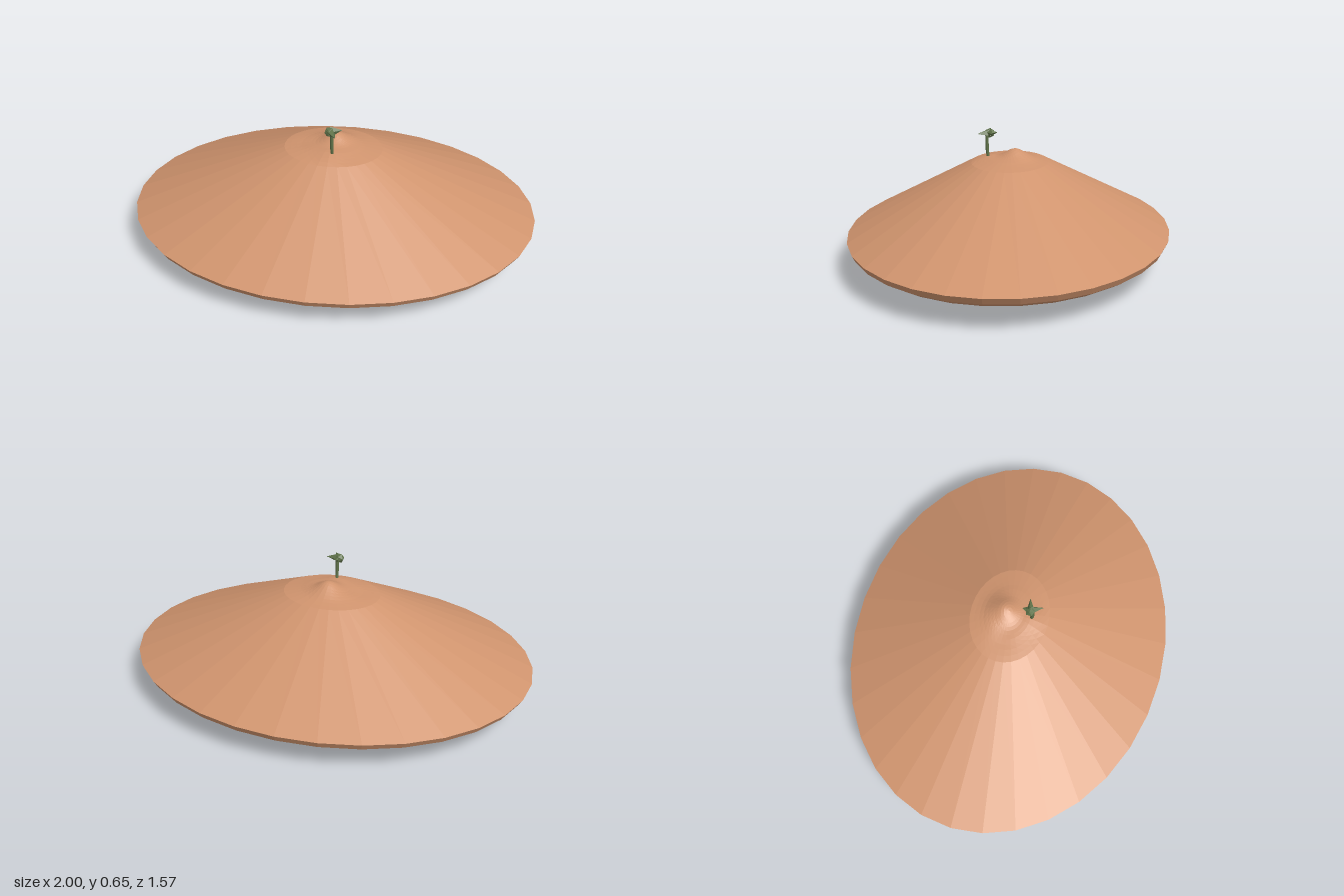
import * as THREE from 'three';

const DEPTH = 0.787; // z to x ratio of the oval mound
const RIM = 0.16;

function flat(geometry) {
  const g = geometry.index ? geometry.toNonIndexed() : geometry;
  g.computeVertexNormals();
  return g;
}

function addMesh(parent, name, geometry, material) {
  const mesh = new THREE.Mesh(geometry, material);
  mesh.name = name;
  parent.add(mesh);
  return mesh;
}

// soft round swelling centred on (cx, cz)
function swelling(x, z, cx, cz, radius) {
  return Math.exp(-((x - cx) ** 2 + (z - cz) ** 2) / (radius * radius));
}

// oval lathe with a rounded underside, straight slopes and an uneven summit
function moundGeometry() {
  const points = [];
  for (let i = 0; i <= 8; i++) {
    const a = (i / 8) * Math.PI / 2;
    points.push(new THREE.Vector2(Math.sin(a), RIM * (1 - Math.cos(a))));
  }
  points.push(new THREE.Vector2(0.24, 0.487));
  for (const r of [0.21, 0.18, 0.155, 0.13, 0.108, 0.088, 0.07, 0.052, 0.035, 0.018, 0]) {
    points.push(new THREE.Vector2(r, 0.487 + 0.022 * Math.min(1, (0.24 - r) / 0.12)));
  }
  const g = new THREE.LatheGeometry(points, 32);
  g.scale(1, 1, DEPTH);
  const p = g.attributes.position;
  for (let i = 0; i < p.count; i++) {
    const x = p.getX(i), z = p.getZ(i), y = p.getY(i);
    if (y < 0.488) continue;
    const lift = 0.045 * swelling(x, z, 0.01, -0.027, 0.065)
      + 0.009 * swelling(x, z, 0, 0.12, 0.06)
      - 0.006 * swelling(x, z, -0.13, 0, 0.06);
    p.setY(i, y + lift);
  }
  return flat(g);
}

// pointed four-sided leaf from a to b
function addLeaf(parent, name, a, b, width, material) {
  const length = a.distanceTo(b);
  const g = new THREE.ConeGeometry(width, length, 4);
  g.scale(1, 1, 0.75);
  const leaf = addMesh(parent, name, flat(g), material);
  leaf.position.copy(a).lerp(b, 0.5);
  leaf.quaternion.setFromUnitVectors(new THREE.Vector3(0, 1, 0), b.clone().sub(a).normalize());
}

export function createModel() {
  const clay = new THREE.MeshStandardMaterial({ color: 0xd0946e });
  clay.name = 'clay';
  const green = new THREE.MeshStandardMaterial({ color: 0x60734a });
  green.name = 'leaf green';

  const model = new THREE.Group();
  model.name = 'moundWithSprout';
  addMesh(model, 'mound', moundGeometry(), clay);

  const sprout = new THREE.Group();
  sprout.name = 'sprout';
  model.add(sprout);

  // slightly bent stem
  const path = new THREE.CatmullRomCurve3([
    new THREE.Vector3(0.01, 0.505, 0.104),
    new THREE.Vector3(0.01, 0.54, 0.11),
    new THREE.Vector3(0.01, 0.62, 0.111),
  ]);
  addMesh(sprout, 'stem', new THREE.TubeGeometry(path, 6, 0.008, 8), green);

  // bud and pointed leaves
  const bud = addMesh(sprout, 'bud', flat(new THREE.IcosahedronGeometry(0.025, 0)), green);
  bud.position.set(-0.004, 0.625, 0.1);
  const root = new THREE.Vector3(0.002, 0.627, 0.1);
  addLeaf(sprout, 'sideLeaf', root, new THREE.Vector3(0.056, 0.632, 0.085), 0.025, green);
  addLeaf(sprout, 'frontLeaf', root, new THREE.Vector3(0.031, 0.625, 0.157), 0.026, green);
  addLeaf(sprout, 'backLeaf', root, new THREE.Vector3(0, 0.629, 0.06), 0.022, green);

  return model;
}
